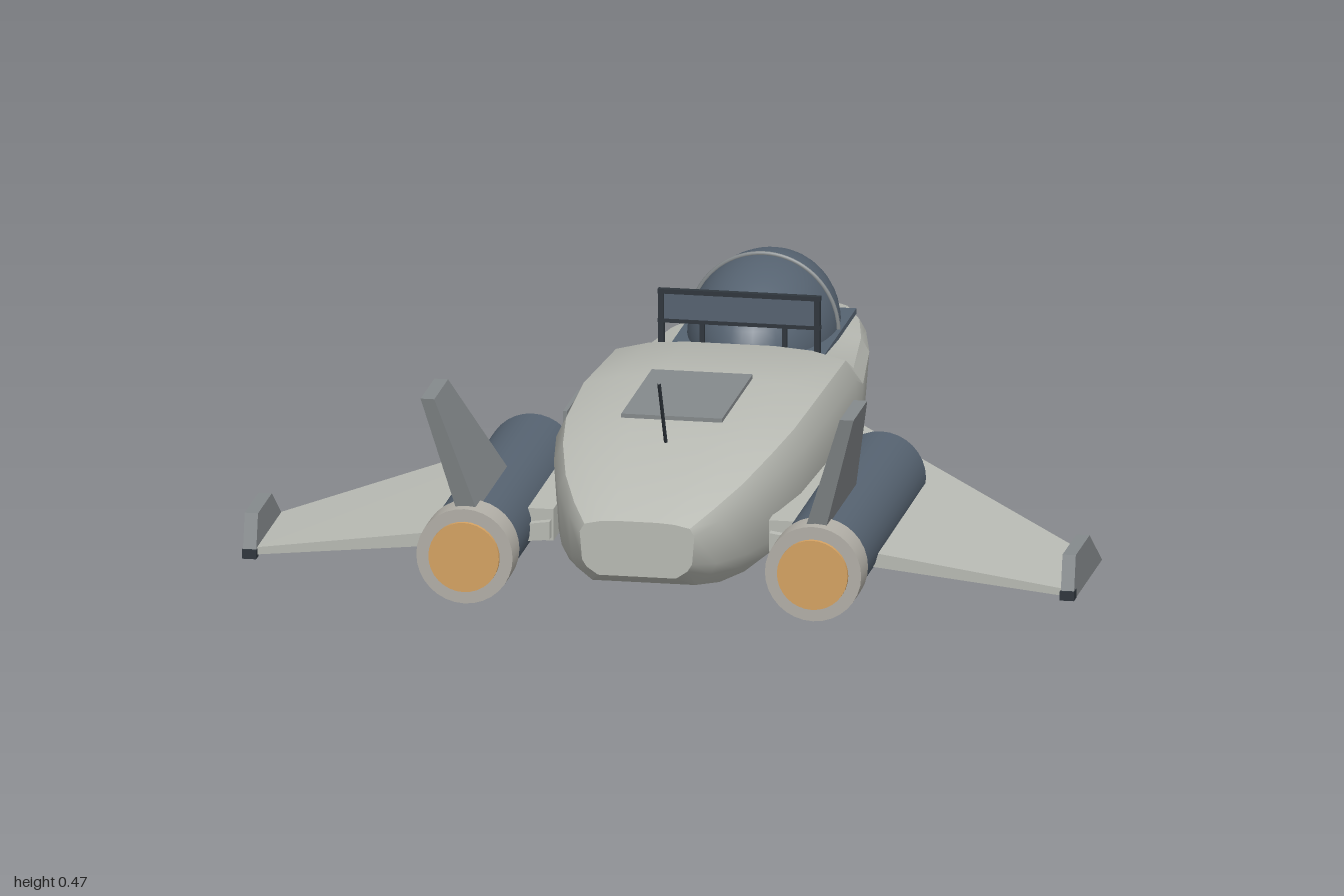
import * as THREE from 'three';
import { toCreasedNormals } from 'three/addons/utils/BufferGeometryUtils.js';
import { ConvexGeometry } from 'three/addons/geometries/ConvexGeometry.js';

const paint = (name, color) => {
  const m = new THREE.MeshStandardMaterial({ color });
  m.name = name;
  return m;
};

// Hull stations, nose to tail: z, half width, bottom, top
const STATIONS = [
  [-1, 0.02, 0.14, 0.165], [-0.86, 0.12, 0.08, 0.195], [-0.7, 0.18, 0.042, 0.218],
  [-0.5, 0.225, 0.02, 0.238], [-0.23, 0.262, 0.009, 0.248], [-0.09, 0.272, 0.007, 0.31],
  [0.25, 0.28, 0.007, 0.33], [0.5, 0.27, 0.012, 0.322], [0.65, 0.247, 0.018, 0.305],
  [0.8, 0.21, 0.035, 0.275], [0.92, 0.165, 0.06, 0.245], [1, 0.125, 0.095, 0.217],
];
// Half cross-section: fraction of half width, fraction of height
const HALF = [[0.35, 1], [0.65, 0.98], [0.92, 0.92], [1, 0.78], [0.96, 0.27], [0.88, 0.14], [0.68, 0]];

function hullGeometry() {
  const ring = [...HALF, ...HALF.map(([x, y]) => [-x, y]).reverse()];
  const n = ring.length, pos = [], idx = [];
  for (const [z, w, lo, hi] of STATIONS)
    for (const [x, y] of ring) pos.push(x * w, lo + y * (hi - lo), z);
  for (let s = 0; s < STATIONS.length - 1; s++)
    for (let i = 0; i < n; i++) {
      const a = s * n + i, b = s * n + (i + 1) % n;
      idx.push(a, a + n, b, b, a + n, b + n);
    }
  // end caps
  const last = (STATIONS.length - 1) * n;
  for (let i = 1; i < n - 1; i++) {
    idx.push(0, i, i + 1);
    idx.push(last, last + i + 1, last + i);
  }
  const g = new THREE.BufferGeometry();
  g.setAttribute('position', new THREE.Float32BufferAttribute(pos, 3));
  g.setIndex(idx);
  return toCreasedNormals(g, 0.6);
}

// Solid between two polygons of [x, y, z] corners
const solid = (...corners) => new ConvexGeometry(corners.map((c) => new THREE.Vector3(...c)));

export function createModel() {
  const model = new THREE.Group();
  const hull = paint('hull grey', 0xb9bbb4);
  const trim = paint('trim grey', 0x858a8c);
  const slate = paint('slate blue', 0x566371);
  const dark = paint('dark metal', 0x2f363d);
  const ringGrey = paint('nozzle grey', 0xb3b0a8);
  const glow = paint('engine amber', 0xd6a363);

  const add = (name, geo, mat, x = 0, y = 0, z = 0, parent = model) => {
    const m = new THREE.Mesh(geo, mat);
    m.name = name;
    m.position.set(x, y, z);
    parent.add(m);
    return m;
  };
  const box = (name, mat, w, h, d, x, y, z) => add(name, new THREE.BoxGeometry(w, h, d), mat, x, y, z);
  // cylinder lying along z, r1 at the tail end
  const tube = (r1, r0, len, open = false) =>
    new THREE.CylinderGeometry(r1, r0, len, 32, 1, open).rotateX(Math.PI / 2);

  add('fuselage', hullGeometry(), hull);

  // Cockpit
  const canopy = new THREE.SphereGeometry(1, 40, 24).scale(0.16, 0.165, 0.275);
  add('canopy', canopy, slate, 0, 0.237, -0.475);
  const hoop = new THREE.TorusGeometry(0.162, 0.005, 8, 40, Math.PI).scale(1, 1.03, 1);
  add('canopyHoop', hoop, trim, 0, 0.237, -0.475);
  box('cockpitSill', slate, 0.34, 0.012, 0.375, 0, 0.238, -0.455);
  box('rearScreen', slate, 0.345, 0.065, 0.008, 0, 0.36, -0.19);
  box('screenTopRail', dark, 0.355, 0.01, 0.014, 0, 0.392, -0.19);
  box('screenLowerRail', dark, 0.355, 0.008, 0.014, 0, 0.327, -0.19);
  for (const s of [-1, 1]) {
    box('screenPost', dark, 0.012, 0.13, 0.014, s * 0.17, 0.33, -0.19);
    box('canopyLatch', dark, 0.01, 0.13, 0.012, s * 0.09, 0.315, -0.238);
  }
  box('latchBar', dark, 0.2, 0.01, 0.012, 0, 0.375, -0.238);

  // Hatch, side door and aerial
  box('dorsalHatch', trim, 0.22, 0.009, 0.355, 0, 0.336, 0.42);
  box('sideDoor', trim, 0.009, 0.22, 0.17, -0.281, 0.155, 0.255);
  const aerial = new THREE.TubeGeometry(
    new THREE.LineCurve3(new THREE.Vector3(0, 0.3, 0.665), new THREE.Vector3(0, 0.455, 0.745)), 1, 0.004, 8);
  add('aerial', aerial, dark);

  // Belly doors
  box('bellyDoor', dark, 0.24, 0.009, 0.3, 0, 0.0105, -0.49);
  for (const s of [-1, 1]) {
    box('bellySideDoor', dark, 0.055, 0.009, 0.16, s * 0.155, 0.014, -0.56);
    box('bellyVent', dark, 0.05, 0.009, 0.04, s * 0.055, 0.022, -0.67);
  }
  box('keelPlate', hull, 0.3, 0.008, 0.6, 0, 0.004, 0.08);

  for (const s of [-1, 1]) {
    // Delta wing, drooping towards the tip
    add('wing', solid(
      [s * 0.2, 0.1, -0.21], [s * 0.2, 0.145, -0.21], [s * 0.24, 0.092, 0.74], [s * 0.24, 0.132, 0.74],
      [s * 0.88, 0.026, 0.46], [s * 0.88, 0.042, 0.46], [s * 0.88, 0.026, 0.74], [s * 0.88, 0.042, 0.74],
    ), hull);
    // Winglet
    const winglet = [[0.02, 0.425], [0.02, 0.755], [0.115, 0.73], [0.115, 0.57]];
    add('winglet', solid(...[0.877, 0.906].flatMap((x) => winglet.map(([y, z]) => [s * x, y, z]))), trim);
    box('wingtipLamp', dark, 0.031, 0.02, 0.03, s * 0.8915, 0.03, 0.742);

    // Engine pod
    const pod = new THREE.Group();
    pod.name = 'enginePod';
    pod.position.set(s * 0.38, 0.115, 0);
    model.add(pod);
    add('engineBody', tube(0.098, 0.098, 0.71), slate, 0, 0, 0.545, pod);
    add('intakeCone', tube(0.098, 0.05, 0.125), hull, 0, 0, 0.13, pod);
    add('nozzleRing', tube(0.105, 0.105, 0.08), ringGrey, 0, 0, 0.94, pod);
    add('nozzleGlow', tube(0.077, 0.077, 0.012), glow, 0, 0, 0.984, pod);
    box('podPylon', hull, 0.08, 0.07, 0.5, s * 0.275, 0.12, 0.47);

    // Canted tail fin: x of inner face, y, z
    const fin = [[0.355, 0.2, 0.59], [0.355, 0.2, 0.95], [0.442, 0.467, 1], [0.442, 0.467, 0.84]];
    add('tailFin', solid(...fin.flatMap(([x, y, z], i) => [
      [s * x, y, z], [s * (x + (i < 2 ? 0.045 : 0.03)), y, z],
    ])), trim);
  }
  return model;
}
